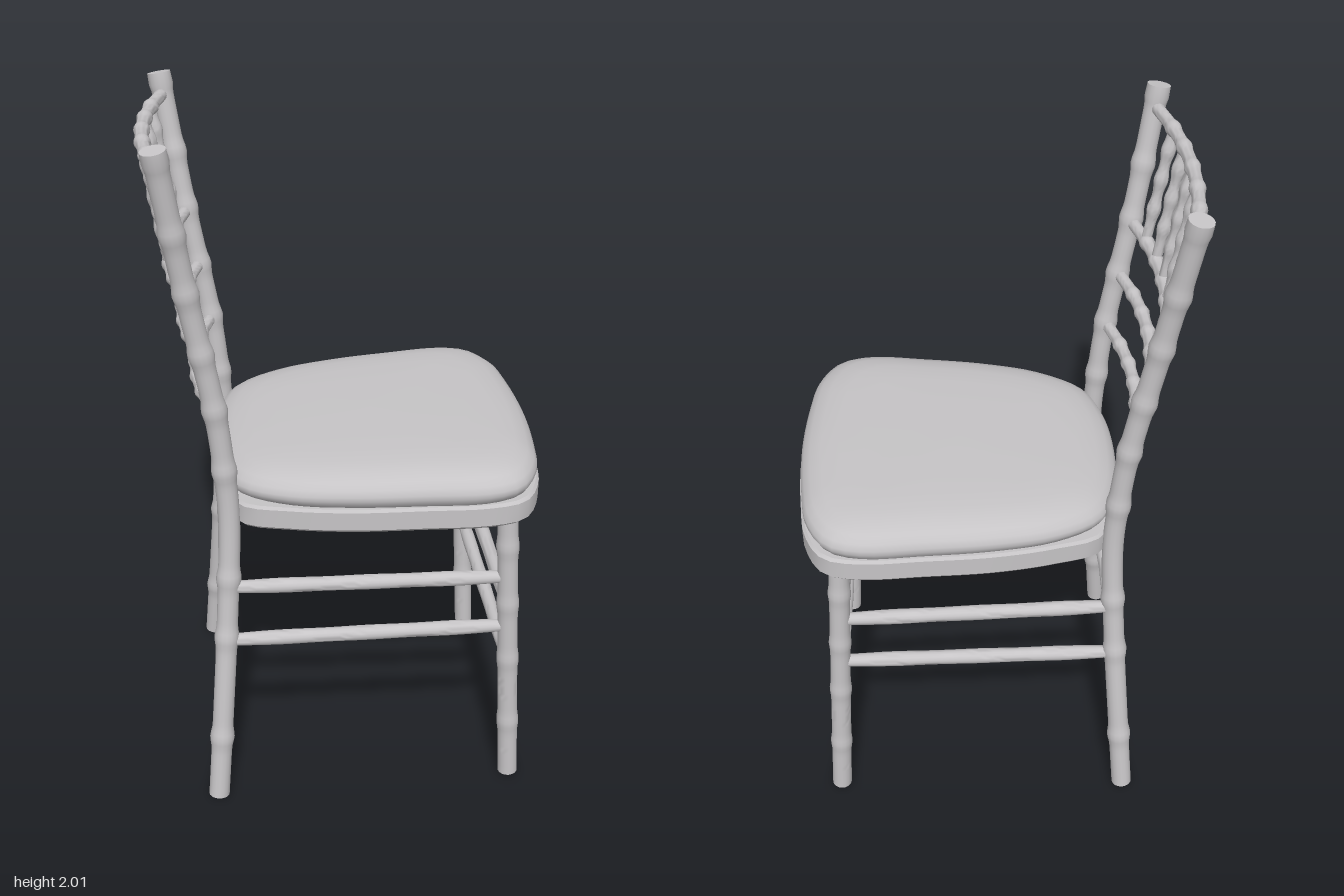
import * as THREE from 'three';
import { toCreasedNormals } from 'three/addons/utils/BufferGeometryUtils.js';

const V = (x, y, z) => new THREE.Vector3(x, y, z);

export function createModel() {
  const chair = new THREE.Group();
  chair.name = 'chair';
  const paint = new THREE.MeshStandardMaterial({ color: 0xc6c4c6 });
  paint.name = 'pale grey';

  function add(name, geometry, crease = 0.9) {
    const mesh = new THREE.Mesh(toCreasedNormals(geometry, crease), paint);
    mesh.name = name;
    chair.add(mesh);
  }

  // Turned rod along a curve: radius(u) gives its thickness, ends are closed
  function rod(name, points, radius, segments = 40, sides = 16) {
    const curve = new THREE.CatmullRomCurve3(points);
    const g = new THREE.TubeGeometry(curve, segments, 1, sides);
    const p = g.attributes.position, n = g.attributes.normal;
    for (let i = 0; i <= segments; i++) {
      const end = i === 0 || i === segments;
      const u = i <= 1 ? 0 : i >= segments - 1 ? 1 : i / segments;
      const c = curve.getPointAt(u);
      const r = end ? 0.0001 : radius(u);
      for (let j = 0; j <= sides; j++) {
        const k = i * (sides + 1) + j;
        p.setXYZ(k, c.x + n.getX(k) * r, c.y + n.getY(k) * r, c.z + n.getZ(k) * r);
      }
    }
    add(name, g);
  }

  // Bamboo-like thickness: soft rings swelling at the given stations
  const bamboo = (base, swell, nodes, width) => (u) =>
    base + swell * nodes.reduce((s, n) => s + Math.exp(-(((u - n) / width) ** 2)), 0);

  // Closed body lofted from scaled copies of a plan outline
  function loft(name, half, profile, height, crease) {
    const mirrored = half.slice(1, -1).reverse().map(([x, z]) => [x, -z]);
    const outline = new THREE.CatmullRomCurve3(
      [...half, ...mirrored].map(([x, z]) => V(x, 0, z)), true, 'centripetal').getSpacedPoints(80);
    const N = 80, pos = [], index = [];
    for (const [s, h] of profile) {
      for (let j = 0; j < N; j++) {
        const x = 0.09 + (outline[j].x - 0.09) * s;
        pos.push(x, height(x, h), outline[j].z * s);
      }
    }
    for (let k = 0; k < profile.length - 1; k++) {
      for (let j = 0; j < N; j++) {
        const a = k * N + j, b = k * N + (j + 1) % N;
        index.push(a, a + N, b, b, a + N, b + N);
      }
    }
    const g = new THREE.BufferGeometry();
    g.setAttribute('position', new THREE.Float32BufferAttribute(pos, 3));
    g.setIndex(index);
    add(name, g, crease);
  }

  // Seat frame, tilted slightly up to the front
  loft('seatFrame',
    [[0.568, 0], [0.555, 0.22], [0.535, 0.35], [0.48, 0.445], [0.38, 0.468], [0.2, 0.455], [0, 0.436],
      [-0.18, 0.397], [-0.31, 0.345], [-0.355, 0.2], [-0.365, 0]],
    [[0, 0], [0.985, 0], [1, 0.008], [1, 0.064], [0.985, 0.072], [0, 0.072]],
    (x, h) => 0.904 + 0.036 * x + h, 0.6);

  // Padded cushion with a rounded edge
  loft('cushion',
    [[0.563, 0], [0.55, 0.22], [0.53, 0.34], [0.47, 0.44], [0.38, 0.47], [0.2, 0.458], [0, 0.437],
      [-0.18, 0.395], [-0.31, 0.315], [-0.362, 0.19], [-0.38, 0]],
    [[0, 0], [0.95, 0], [0.982, 0.12], [1, 0.3], [0.998, 0.42], [0.98, 0.58], [0.94, 0.73],
      [0.87, 0.86], [0.76, 0.94], [0.6, 0.98], [0.3, 1], [0, 1]],
    (x, h) => 0.972 + 0.03 * x + h * (0.106 + 0.026 * x - 0.045 * x * x), 1.2);

  // Rear posts run from the foot to the top of the back; z is for the +z side
  const postPoints = [[-0.41, 0, 0.437], [-0.385, 0.3, 0.402], [-0.362, 0.6, 0.362], [-0.346, 0.9, 0.333],
    [-0.353, 1.05, 0.33], [-0.373, 1.25, 0.334], [-0.434, 1.6, 0.352], [-0.495, 2, 0.4]];
  const post = new THREE.CatmullRomCurve3(postPoints.map((q) => V(...q)));
  const postAt = (y) => {
    let lo = 0, hi = 1;
    for (let i = 0; i < 30; i++) {
      const mid = (lo + hi) / 2;
      if (post.getPoint(mid).y < y) lo = mid; else hi = mid;
    }
    return post.getPoint(lo);
  };
  const frontLegAt = (y) => V(0.486 - 0.05 * y, y, 0.41 - 0.004 * y);

  for (const s of [1, -1]) {
    const flip = (v) => V(v.x, v.y, v.z * s);
    const side = s > 0 ? 'left' : 'right';
    rod(side + 'RearPost', postPoints.map(([x, y, z]) => V(x, y, z * s)),
      bamboo(0.031, 0.006, [0.1, 0.265, 0.36, 0.53, 0.625, 0.71, 0.8, 0.885, 0.99], 0.012), 120);
    rod(side + 'FrontLeg', [0, 0.3, 0.6, 0.93].map((y) => flip(frontLegAt(y))),
      bamboo(0.03, 0.004, [0.21, 0.46, 0.67, 0.88], 0.025), 60);

    // Side stretchers
    for (const [back, front] of [[0.69, 0.715], [0.52, 0.545]]) {
      rod(side + 'Stretcher', [flip(postAt(back)), flip(frontLegAt(front))],
        bamboo(0.017, 0.005, [0.2, 0.5, 0.8], 0.16));
    }
  }

  // Cross stretchers between the front legs and between the rear posts
  const across = (a) => [a, V(a.x, a.y, -a.z)];
  for (const y of [0.62, 0.425]) {
    rod('frontStretcher', across(frontLegAt(y)), bamboo(0.018, 0.004, [0.2, 0.5, 0.8], 0.14));
  }
  rod('rearStretcher', across(postAt(0.62)), bamboo(0.018, 0.004, [0.2, 0.5, 0.8], 0.14));

  // Back rails, bowed to the rear
  const bow = 0.05;
  const railX = (y, z) => {
    const p = postAt(y);
    return p.x - bow * (1 - (z / p.z) ** 2);
  };
  for (const y of [1.25, 1.425, 1.595, 1.94]) {
    const w = postAt(y).z;
    rod('backRail', [-1, -0.6, -0.2, 0.2, 0.6, 1].map((f) => V(railX(y, w * f), y, w * f)),
      bamboo(0.018, 0.005, [0.2, 0.35, 0.5, 0.65, 0.8], 0.025), 60);
  }

  // Spindles between the two upper rails
  for (let i = -2; i <= 2; i++) {
    const low = i * 0.112, high = i * 0.117;
    rod('spindle', [V(railX(1.595, low), 1.595, low), V(railX(1.94, high), 1.94, high)],
      bamboo(0.015, 0.006, [0.3, 0.56, 0.82], 0.07));
  }
  return chair;
}
